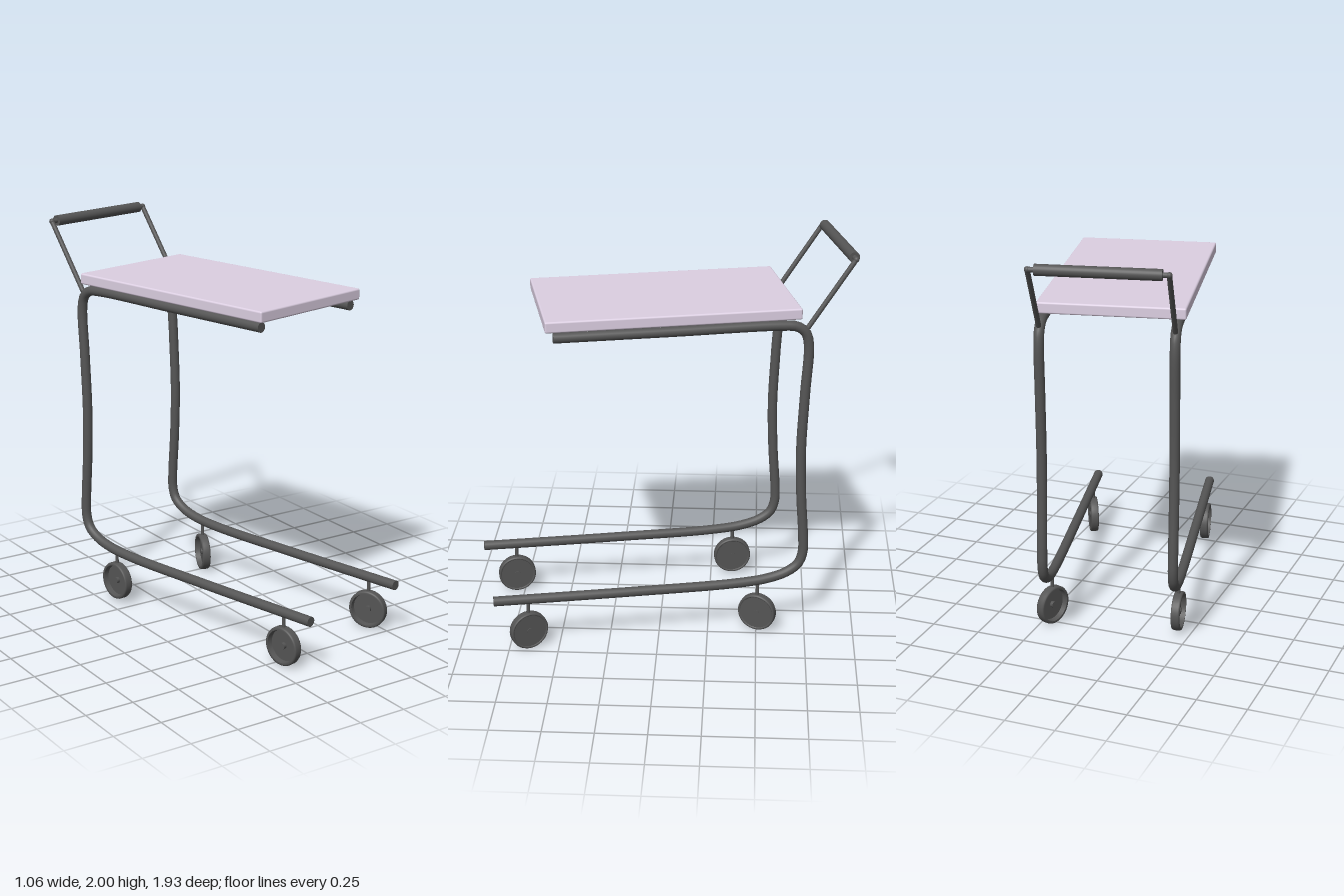
import * as THREE from 'three';
import { RoundedBoxGeometry } from 'three/addons/geometries/RoundedBoxGeometry.js';

const steel = new THREE.MeshStandardMaterial({ color: 0x555555 });
const laminate = new THREE.MeshStandardMaterial({ color: 0xdccfe2 });
const PIPE_X = [-0.341, 0.302];

function add(parent, name, geometry, material = steel) {
  const mesh = new THREE.Mesh(geometry, material);
  mesh.name = name;
  parent.add(mesh);
  return mesh;
}

// Capped straight rod between two points
function rod(parent, name, a, b, radius, sides = 20) {
  const from = new THREE.Vector3(...a), to = new THREE.Vector3(...b);
  const dir = to.clone().sub(from);
  const mesh = add(parent, name, new THREE.CylinderGeometry(radius, radius, dir.length(), sides));
  mesh.position.copy(from).add(to).multiplyScalar(0.5);
  mesh.quaternion.setFromUnitVectors(new THREE.Vector3(0, 1, 0), dir.normalize());
  return mesh;
}

// Side frame centreline as [z, y]: under the top, down the bowed column, along the floor
const FRAME_PATH = [
  [0.575, 1.657], [0, 1.657], [-0.55, 1.657], [-0.62, 1.648], [-0.662, 1.615], [-0.679, 1.55],
  [-0.668, 1.3], [-0.657, 1.0], [-0.665, 0.75], [-0.683, 0.5], [-0.682, 0.42], [-0.66, 0.36],
  [-0.6, 0.316], [-0.5, 0.287], [-0.33, 0.272], [0.2, 0.27], [0.907, 0.275],
];

function sideFrame(x) {
  const group = new THREE.Group();
  group.name = 'sideFrame';
  const points = FRAME_PATH.map(([z, y]) => new THREE.Vector3(x, y, z));
  const curve = new THREE.CatmullRomCurve3(points);
  add(group, 'framePipe', new THREE.TubeGeometry(curve, 160, 0.025, 20));
  // Both open pipe ends face forward
  for (const end of [points[0], points[points.length - 1]]) {
    add(group, 'pipeCap', new THREE.CircleGeometry(0.025, 20)).position.copy(end);
  }
  return group;
}

// Caster: stem plus a wheel with a deep recess on one face and a shallow one on the other
function caster(x, z, degrees, y) {
  const group = new THREE.Group();
  group.name = 'caster';
  const profile = [
    [0, -0.018], [0.086, -0.018], [0.086, -0.018], [0.09, -0.022], [0.096, -0.021], [0.099, -0.014],
    [0.099, 0.014], [0.096, 0.021], [0.09, 0.022], [0.084, 0.022], [0.084, 0.022],
    [0.08, -0.004], [0.08, -0.004], [0, -0.004],
  ].map(([r, h]) => new THREE.Vector2(r, h));
  add(group, 'wheel', new THREE.LatheGeometry(profile, 40).rotateZ(Math.PI / 2));
  rod(group, 'axle', [-0.012, 0, 0], [0.022, 0, 0], 0.016);
  rod(group, 'casterStem', [0, 0.09, 0], [0, 0.265 - y, 0], 0.009, 12);
  group.position.set(x, y, z);
  group.rotation.y = THREE.MathUtils.degToRad(degrees);
  return group;
}

function pushHandle() {
  const group = new THREE.Group();
  group.name = 'pushHandle';
  const y = 1.973, z = -0.9;
  for (const x of PIPE_X) {
    const top = [x, y, z];
    rod(group, 'handleArm', [x, 1.64, -0.672], top, 0.0125, 16);
    add(group, 'handleElbow', new THREE.SphereGeometry(0.0145, 16, 12)).position.set(...top);
  }
  rod(group, 'handleBar', [PIPE_X[0], y, z], [PIPE_X[1], y, z], 0.0125, 16);
  rod(group, 'grip', [-0.311, y, z], [0.27, y, z], 0.027, 28);
  return group;
}

export function createModel() {
  const model = new THREE.Group();
  model.name = 'overbedTable';

  // Table top
  const top = add(model, 'tableTop', new RoundedBoxGeometry(0.712, 0.056, 1.254, 3, 0.009), laminate);
  top.position.set(-0.031, 1.717, -0.012);

  for (const x of PIPE_X) model.add(sideFrame(x));
  model.add(pushHandle());

  // Casters, each swivelled differently
  model.add(
    caster(PIPE_X[0], -0.45, -4, 0.113),
    caster(PIPE_X[1], -0.45, -31, 0.1),
    caster(PIPE_X[0], 0.734, 0, 0.1),
    caster(PIPE_X[1], 0.734, 16, 0.1),
  );

  // The whole table stands turned on the floor
  model.rotation.y = THREE.MathUtils.degToRad(12.5);
  const root = new THREE.Group();
  root.name = 'rollingTable';
  root.add(model);
  return root;
}
